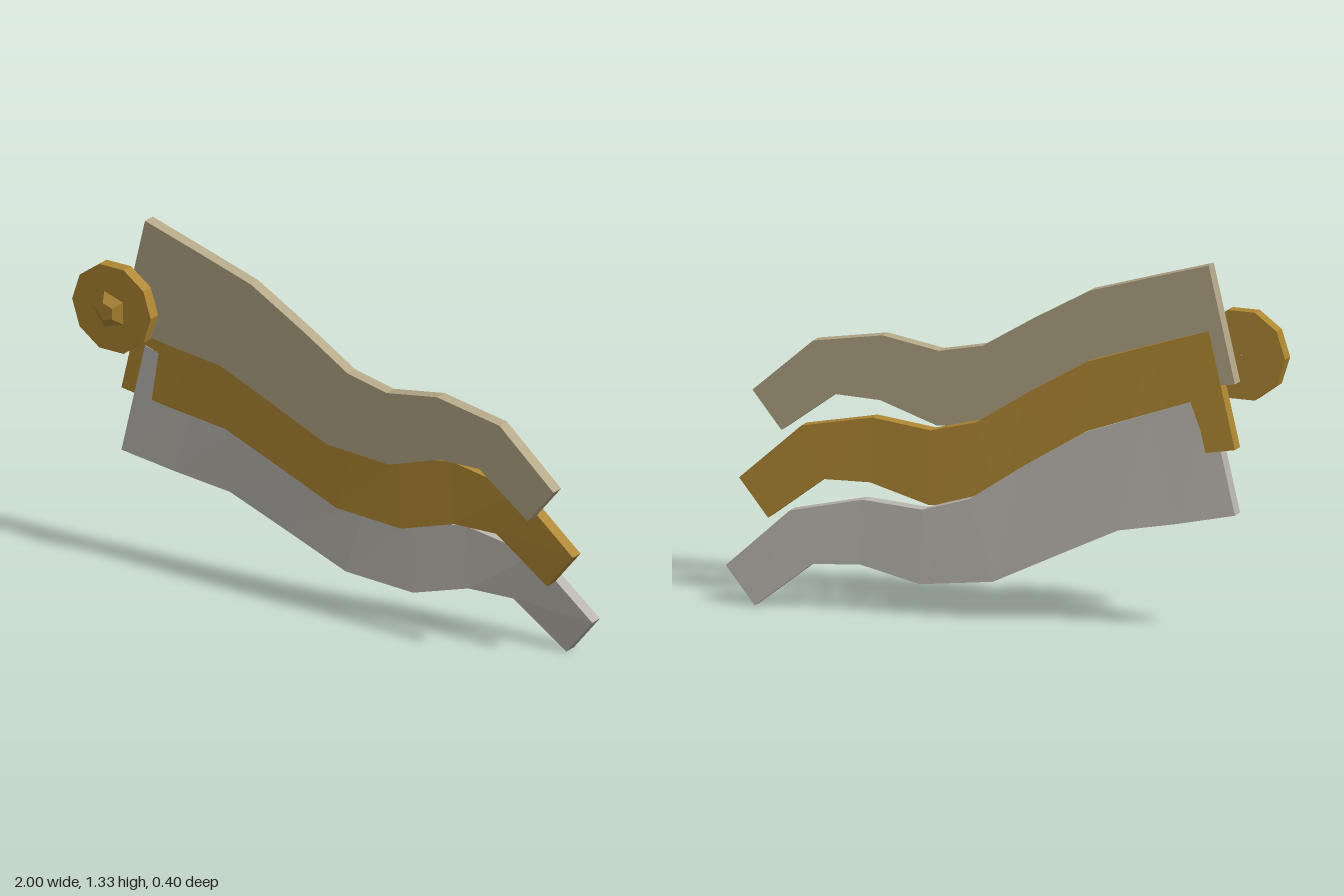
import * as THREE from 'three';

const tan = new THREE.MeshStandardMaterial({ name: 'dull tan', color: 0xb5a888 });
const gold = new THREE.MeshStandardMaterial({ name: 'ochre gold', color: 0xaf8733 });
const grey = new THREE.MeshStandardMaterial({ name: 'warm grey', color: 0xb7b3ac });

// Upper and lower edge of the cloth, column by column from the pin outwards
const upper = [[-0.74, 1.335], [-0.52, 1.27], [-0.29, 1.2], [-0.06, 1.07], [0.12, 0.96],
  [0.285, 0.925], [0.5, 0.96], [0.765, 0.915], [0.995, 0.715]];
const lower = [[-0.84, 0.915], [-0.635, 0.885], [-0.42, 0.86], [-0.2, 0.768], [0.03, 0.67],
  [0.295, 0.655], [0.51, 0.725], [0.68, 0.73], [0.885, 0.58]];
const columns = upper.length - 1;

function facet(geometry) {
  const flat = geometry.toNonIndexed();
  flat.computeVertexNormals();
  return flat;
}

function add(group, name, geometry, material) {
  const mesh = new THREE.Mesh(facet(geometry), material);
  mesh.name = name;
  group.add(mesh);
  return mesh;
}

// Each layer hangs lower and fans further back than the one before
function clothGeometry(layer) {
  const geometry = new THREE.BoxGeometry(1, 1, 1, columns, 1, 1);
  const p = geometry.attributes.position;
  for (let v = 0; v < p.count; v++) {
    const i = Math.round((p.getX(v) + 0.5) * columns);
    const [x, y] = (p.getY(v) > 0 ? upper : lower)[i];
    const drop = layer * (0.237 + 0.0065 * i);
    const z = (p.getZ(v) > 0 ? 0.088 : 0.041) - layer * 0.015 * i;
    p.setXYZ(v, x, y - drop, z);
  }
  return geometry;
}

export function createModel() {
  const model = new THREE.Group();
  model.name = 'layeredBanner';

  // Three waving cloth layers
  [['frontCloth', tan], ['middleCloth', gold], ['backCloth', grey]].forEach(
    ([name, material], layer) => add(model, name, clothGeometry(layer), material));

  // Ten-sided pin disc with a five-sided cut stud
  const pin = new THREE.Group();
  pin.name = 'pin';
  pin.position.set(-0.833, 1.003, 0);
  model.add(pin);

  const disc = new THREE.CylinderGeometry(0.167, 0.167, 0.046, 10, 1, false, Math.PI / 2);
  add(pin, 'pinDisc', disc.rotateX(Math.PI / 2).translate(0, 0, 0.137), gold);

  const profile = [[0, 0.11], [0.071, 0.173], [0.034, 0.198], [0, 0.198]]
    .map(([r, h]) => new THREE.Vector2(r, h));
  const stud = new THREE.LatheGeometry(profile, 5, -Math.PI / 2);
  add(pin, 'pinStud', stud.rotateX(Math.PI / 2), gold);

  return model;
}
